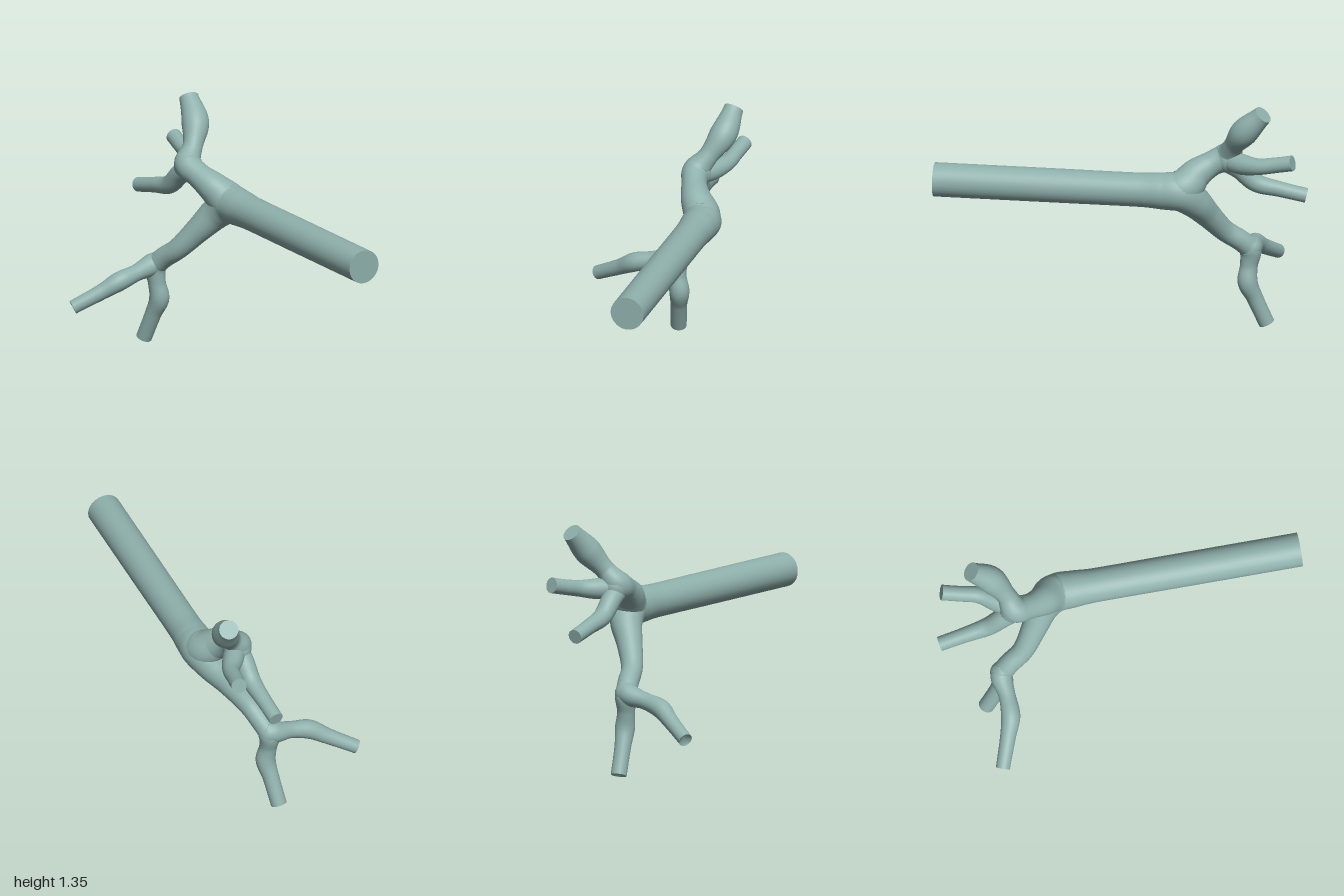
import * as THREE from 'three';

const SIDES = 32;

// Capped tube through [x, y, z, radius] stations; hollow sinks the end cap inward.
function tubeGeometry(stations, stepsPerSpan = 10, hollow = 0) {
  const path = new THREE.CatmullRomCurve3(stations.map(s => new THREE.Vector3(s[0], s[1], s[2])));
  const radii = new THREE.SplineCurve(stations.map((s, i) => new THREE.Vector2(i, s[3])));
  const rows = (stations.length - 1) * stepsPerSpan;
  const pos = [], index = [];
  const normal = new THREE.Vector3(0.3, 1, 0.2);
  const binormal = new THREE.Vector3();
  const add = v => pos.push(v.x, v.y, v.z) / 3 - 1;

  // Rings, with the frame carried along the path
  const rings = [];
  for (let i = 0; i <= rows; i++) {
    const t = i / rows;
    const centre = path.getPoint(t), tangent = path.getTangent(t), r = radii.getPoint(t).y;
    normal.addScaledVector(tangent, -normal.dot(tangent)).normalize();
    binormal.crossVectors(tangent, normal);
    const points = [];
    for (let j = 0; j < SIDES; j++) {
      const a = (j / SIDES) * Math.PI * 2;
      points.push(centre.clone()
        .addScaledVector(normal, Math.cos(a) * r)
        .addScaledVector(binormal, Math.sin(a) * r));
    }
    points.forEach(add);
    rings.push({ centre, tangent, points });
  }
  for (let i = 0; i < rows; i++) {
    for (let j = 0; j < SIDES; j++) {
      const k = (j + 1) % SIDES;
      const a = i * SIDES + j, b = i * SIDES + k;
      index.push(a, b, a + SIDES, b, b + SIDES, a + SIDES);
    }
  }

  // End caps with their own vertices, so the rims stay sharp
  [rings[0], rings[rows]].forEach((ring, end) => {
    const middle = add(ring.centre.clone().addScaledVector(ring.tangent, end ? -hollow : 0));
    const first = ring.points.map(add)[0];
    for (let j = 0; j < SIDES; j++) {
      const a = first + j, b = first + (j + 1) % SIDES;
      if (end) index.push(middle, a, b);
      else index.push(middle, b, a);
    }
  });

  const geometry = new THREE.BufferGeometry();
  geometry.setAttribute('position', new THREE.Float32BufferAttribute(pos, 3));
  geometry.setIndex(index);
  geometry.computeVertexNormals();
  return geometry;
}

export function createModel() {
  const group = new THREE.Group();
  group.name = 'branchingTube';
  const material = new THREE.MeshStandardMaterial({ color: 0x8fb0ac });

  const addTube = (name, stations, hollow) => {
    const mesh = new THREE.Mesh(tubeGeometry(stations, 10, hollow), material);
    mesh.name = name;
    group.add(mesh);
  };

  // Long straight trunk that flares and bends down into the lower limb
  addTube('trunkAndLowerLimb', [
    [0.32, 0.84, 1, 0.092],
    [0.32, 0.84, 0.4, 0.092],
    [0.32, 0.84, -0.12, 0.092],
    [0.32, 0.84, -0.24, 0.1],
    [0.316, 0.835, -0.33, 0.103],
    [0.28, 0.775, -0.4, 0.088],
    [0.205, 0.675, -0.465, 0.07],
    [0.125, 0.56, -0.545, 0.058],
    [0.09, 0.5, -0.62, 0.057],
    [0.065, 0.45, -0.67, 0.057],
  ]);

  // Upper limb: rises from the trunk, narrows to a neck, then swells
  addTube('upperLimb', [
    [0.32, 0.84, -0.25, 0.09],
    [0.308, 0.86, -0.345, 0.1],
    [0.255, 0.925, -0.41, 0.083],
    [0.218, 0.975, -0.49, 0.068],
    [0.205, 1.015, -0.57, 0.075],
    [0.26, 1.095, -0.61, 0.054],
    [0.322, 1.2, -0.68, 0.074],
    [0.347, 1.312, -0.785, 0.052],
  ]);

  // Two thinner branches leaving the upper knob
  addTube('upperBackBranch', [
    [0.2, 1.0, -0.55, 0.055],
    [0.265, 0.995, -0.65, 0.057],
    [0.32, 1.005, -0.75, 0.045],
    [0.338, 1.025, -0.85, 0.042],
    [0.355, 1.047, -0.945, 0.042],
  ]);
  addTube('upperRearDownBranch', [
    [0.21, 1.0, -0.54, 0.06],
    [0.195, 0.945, -0.63, 0.055],
    [0.185, 0.865, -0.72, 0.05],
    [0.172, 0.83, -0.85, 0.042],
    [0.158, 0.797, -0.99, 0.04],
  ]);

  // Two branches leaving the lower junction, with hollowed tips
  addTube('lowerDownBranch', [
    [0.085, 0.49, -0.64, 0.05],
    [0.065, 0.44, -0.672, 0.059],
    [0.068, 0.35, -0.665, 0.048],
    [0.08, 0.26, -0.66, 0.054],
    [0.066, 0.17, -0.695, 0.045],
    [0.045, 0.02, -0.757, 0.043],
  ], 0.03);
  addTube('lowerSideBranch', [
    [0.085, 0.48, -0.655, 0.05],
    [0.045, 0.45, -0.675, 0.06],
    [-0.06, 0.425, -0.665, 0.046],
    [-0.17, 0.395, -0.665, 0.052],
    [-0.26, 0.345, -0.695, 0.043],
    [-0.41, 0.267, -0.752, 0.038],
  ], 0.03);

  // Rounded fill at each fork
  [
    ['lowerFork', 0.062, 0.452, -0.672, 0.061],
    ['upperFork', 0.21, 1.0, -0.58, 0.075],
  ].forEach(([name, x, y, z, r]) => {
    const fork = new THREE.Mesh(new THREE.SphereGeometry(r, 32, 20), material);
    fork.name = name;
    fork.position.set(x, y, z);
    group.add(fork);
  });

  return group;
}
